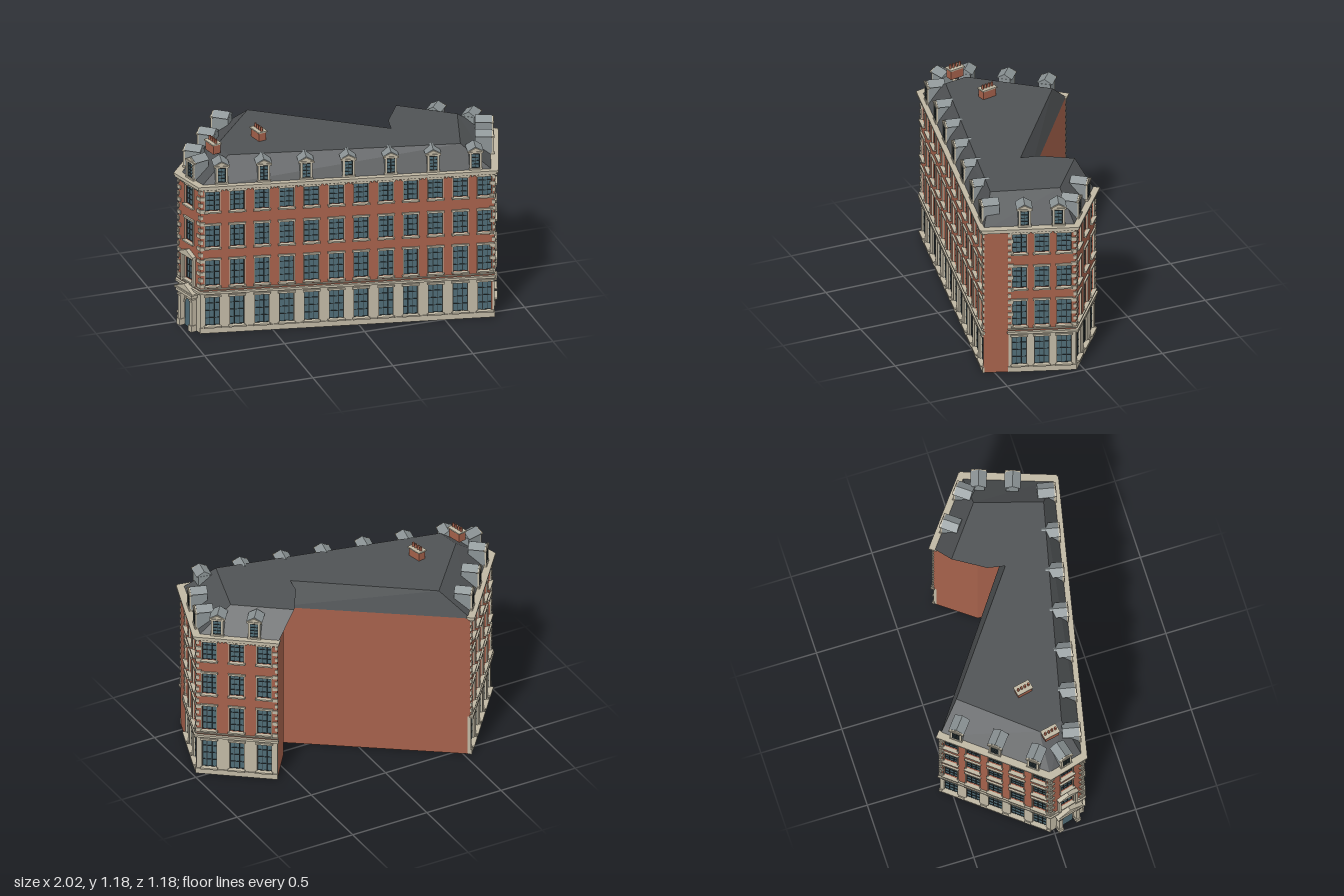
import * as THREE from 'three';
import { mergeGeometries } from 'three/addons/utils/BufferGeometryUtils.js';

const mat = (color) => new THREE.MeshStandardMaterial({ color });
const brick = mat(0xa5614b), stone = mat(0xc0b8a4), slate = mat(0x505355), zinc = mat(0x8b9395);
const glass = mat(0x4f6c76), bars = mat(0x2b3538);

const EAVE = 0.945, TOP = 1.1, GROUND = 0.26, REVEAL = 0.02, WIN = 0.085;
// plan corners [x, z]; matching corners of the flat roof
const plan = [[-0.92, 0.2], [0.79, 0.56], [0.97, 0.045], [0.59, -0.25], [0.425, -0.03], [0.4, 0.11], [-0.54, -0.565], [-0.98, -0.02]];
const flat = [[-0.72, 0.13], [0.62, 0.44], [0.74, 0.045], [0.44, -0.185], [0.325, 0], [0.305, 0.105], [-0.405, -0.42], [-0.745, -0.015]];
// window rows [bottom, top]
const rows = [[0.045, 0.235], [0.305, 0.475], [0.555, 0.7], [0.79, 0.92]];

const box = (w, h, d, x, y, z) => new THREE.BoxGeometry(w, h, d).translate(x, y, z);

// collects geometries by part name, then merges each into one mesh
class Parts {
  constructor() { this.map = new Map(); }
  add(name, material, ...geos) {
    if (!this.map.has(name)) this.map.set(name, { material, geos: [] });
    this.map.get(name).geos.push(...geos.map((g) => (g.index ? g.toNonIndexed() : g)));
  }
  build(group) {
    for (const [name, { material, geos }] of this.map) {
      const mesh = new THREE.Mesh(mergeGeometries(geos), material);
      mesh.name = name;
      group.add(mesh);
    }
    return group;
  }
}

const planShape = (pts) => new THREE.Shape(pts.map(([x, z]) => new THREE.Vector2(x, -z)));

// moves every edge of a counter-clockwise plan inward by its own distance
function inset(pts, dist) {
  const n = pts.length;
  const edge = (i) => {
    const a = pts[i], b = pts[(i + 1) % n], l = Math.hypot(b[0] - a[0], b[1] - a[1]);
    const d = [(b[0] - a[0]) / l, (b[1] - a[1]) / l];
    return { p: [a[0] + d[1] * dist[i], a[1] - d[0] * dist[i]], d };
  };
  return pts.map((_, i) => {
    const e = edge((i + n - 1) % n), f = edge(i);
    const t = ((f.p[0] - e.p[0]) * f.d[1] - (f.p[1] - e.p[1]) * f.d[0]) / (e.d[0] * f.d[1] - e.d[1] * f.d[0]);
    return [e.p[0] + e.d[0] * t, e.p[1] + e.d[1] * t];
  });
}

// wall slab with window openings
function panel(x0, x1, y0, y1, holes) {
  const rect = (C, a, b, c, d) => new C([[a, c], [b, c], [b, d], [a, d]].map((p) => new THREE.Vector2(...p)));
  const s = rect(THREE.Shape, x0, x1, y0, y1);
  for (const [x, w, b, t] of holes) s.holes.push(rect(THREE.Path, x - w / 2, x + w / 2, b, t));
  return new THREE.ExtrudeGeometry(s, { depth: REVEAL, bevelEnabled: false }).translate(0, 0, -REVEAL);
}

// glazed sash with glazing bars, its pane at depth z
function sash(p, x, w, b, t, z, nv = 2, nh = 3) {
  const h = t - b, y = (t + b) / 2;
  p.add('windowGlass', glass, box(w, h, 0.004, x, y, z));
  for (let i = 0; i <= nv + 1; i++) p.add('glazingBars', bars, box(0.004, h, 0.006, x - w / 2 + (w * i) / (nv + 1), y, z + 0.003));
  for (let i = 0; i <= nh + 1; i++) p.add('glazingBars', bars, box(w, 0.004, 0.006, x, b + (h * i) / (nh + 1), z + 0.003));
}

// triangular gable prism, front face at z
function gable(w, h, d, x, y, z) {
  const s = new THREE.Shape([[-w / 2, 0], [w / 2, 0], [0, h]].map((q) => new THREE.Vector2(...q)));
  return new THREE.ExtrudeGeometry(s, { depth: d, bevelEnabled: false }).translate(x, y, z - d);
}

function dormer(p, x) {
  const w = 0.072, d = 0.1, z = -0.012;
  p.add('dormerCheeks', zinc, box(w, 0.12, d, x, 1.015, z - d / 2));
  sash(p, x, 0.046, 0.975, 1.062, z + 0.002, 1, 3);
  for (const s of [-1, 1]) p.add('dormerTrim', stone, box(0.012, 0.115, 0.012, x + s * 0.03, 1.015, z + 0.003));
  p.add('dormerTrim', stone, box(0.092, 0.01, 0.02, x, 1.073, z + 0.002), box(0.08, 0.01, 0.02, x, 0.966, z + 0.002), gable(0.088, 0.022, 0.012, x, 1.078, z + 0.008));
  p.add('dormerRoofs', zinc, gable(0.096, 0.03, d, x, 1.076, z));
}

// one decorated street front, local x along the wall and z outward
function facade(name, a, b, { start = 0, bays, dormers, entrance = false }) {
  const g = new THREE.Group(), p = new Parts();
  const dx = b[0] - a[0], dz = b[1] - a[1], L = Math.hypot(dx, dz), len = L - start, mid = (L + start) / 2;
  g.name = name;
  g.position.set(a[0], 0, a[1]);
  g.rotation.y = -Math.atan2(dz, dx);

  // walls
  const holesOf = (list) => list.flatMap(([y0, y1]) => bays.map((x) => [x, WIN, y0, y1]));
  if (start) p.add('brickWall', brick, panel(0, start, 0, GROUND, []));
  p.add('stoneGroundFloor', stone, panel(start, L, 0, GROUND, entrance ? [] : holesOf([rows[0]])));
  p.add('brickWall', brick, panel(0, L, GROUND, EAVE, holesOf(rows.slice(1))));

  // windows with lintel and sill
  rows.forEach(([y0, y1], r) => {
    if (r === 0 && entrance) return;
    for (const x of bays) {
      sash(p, x, WIN, y0, y1, -REVEAL + 0.003);
      p.add('windowTrim', stone, box(WIN + 0.018, 0.012, 0.014, x, y1 + 0.005, 0.004), box(WIN + 0.018, 0.009, 0.022, x, y0 - 0.004, 0.007));
      if (r) for (const s of [-1, 1]) p.add('windowTrim', stone, box(0.005, y1 - y0, 0.008, x + s * (WIN / 2 + 0.002), (y0 + y1) / 2, 0.001));
    }
  });

  // plinth, string course, cornice and dentils
  p.add('stringCourse', stone, box(len + 0.016, 0.014, 0.024, mid, GROUND + 0.004, 0.004), box(len + 0.01, 0.006, 0.016, mid, 0.284, 0.002));
  if (!entrance) p.add('plinth', stone, box(len + 0.006, 0.035, 0.012, mid, 0.0175, 0));
  p.add('cornice', stone, box(L + 0.02, 0.012, 0.035, L / 2, 0.942, 0.003), box(L + 0.03, 0.012, 0.05, L / 2, 0.954, 0));
  for (let x = start + 0.01; x < L; x += 0.022) p.add('dentils', stone, box(0.01, 0.012, 0.016, x, 0.93, 0.006));

  // alternating quoins at both ends
  for (let i = 0; i < 16; i++) {
    const w = i % 2 ? 0.018 : 0.032, y = 0.305 + i * 0.0405;
    for (const x of [start + w / 2 - 0.004, L - w / 2 + 0.004]) p.add('quoins', stone, box(w, 0.022, 0.012, x, y, 0.001));
  }

  // arched doorway with a pedimented window above
  if (entrance) {
    const x = bays[0], s = new THREE.Shape();
    s.moveTo(-0.035, 0).lineTo(0.035, 0).lineTo(0.035, 0.15).absarc(0, 0.15, 0.035, 0, Math.PI).lineTo(-0.035, 0);
    p.add('door', glass, new THREE.ExtrudeGeometry(s, { depth: 0.006, bevelEnabled: false }).translate(x, 0, 0));
    p.add('doorSurround', stone, new THREE.TorusGeometry(0.039, 0.006, 6, 16, Math.PI).translate(x, 0.15, 0.006));
    for (const k of [-1, 1]) {
      p.add('doorSurround', stone, box(0.024, 0.225, 0.035, x + k * 0.06, 0.1125, 0.014), box(0.032, 0.04, 0.045, x + k * 0.06, 0.02, 0.016),
        box(0.03, 0.012, 0.042, x + k * 0.06, 0.2, 0.016), box(0.016, 0.18, 0.022, x + k * 0.058, 0.375, 0.008));
    }
    p.add('doorSurround', stone, box(0.165, 0.022, 0.045, x, 0.23, 0.018), box(0.18, 0.01, 0.055, x, 0.245, 0.02), gable(0.17, 0.04, 0.045, x, 0.25, 0.04),
      box(0.14, 0.014, 0.03, x, 0.472, 0.01), gable(0.14, 0.03, 0.03, x, 0.478, 0.026));
  }

  dormers.forEach((x) => dormer(p, x));
  return p.build(g);
}

// steep slopes between eave and flat roof
function slopes() {
  const pos = [], n = plan.length;
  for (let i = 0; i < n; i++) {
    const j = (i + 1) % n;
    const [A, B] = [plan[i], plan[j]].map(([x, z]) => [x, EAVE, z]), [C, D] = [flat[j], flat[i]].map(([x, z]) => [x, TOP, z]);
    pos.push(...A, ...B, ...C, ...A, ...C, ...D);
  }
  const g = new THREE.BufferGeometry();
  g.setAttribute('position', new THREE.Float32BufferAttribute(pos, 3));
  g.computeVertexNormals();
  return g;
}

function chimney(x, z) {
  const g = new THREE.Group(), p = new Parts();
  g.name = 'chimney';
  g.position.set(x, TOP, z);
  g.rotation.y = 0.21;
  p.add('chimneyStack', brick, box(0.048, 0.06, 0.09, 0, 0.025, 0));
  p.add('chimneyCap', stone, box(0.06, 0.008, 0.102, 0, 0.056, 0));
  for (let i = 0; i < 4; i++) p.add('chimneyPots', brick, new THREE.CylinderGeometry(0.007, 0.008, 0.026, 8).translate(0, 0.071, -0.034 + i * 0.0227));
  return p.build(g);
}

export function createModel() {
  const model = new THREE.Group();
  model.name = 'cornerBuilding';
  const add = (name, geo, material) => {
    const m = new THREE.Mesh(geo, material);
    m.name = name;
    model.add(m);
  };
  const series = (n, first, step) => Array.from({ length: n }, (_, i) => first + i * step);

  // solid core, set back behind the window openings
  const core = inset(plan, [REVEAL, REVEAL, REVEAL, 0, 0, 0, REVEAL, REVEAL]);
  add('core', new THREE.ExtrudeGeometry(planShape(core), { depth: EAVE, bevelEnabled: false }).rotateX(-Math.PI / 2), brick);

  // roof
  add('roofSlopes', slopes(), slate);
  add('flatRoof', new THREE.ShapeGeometry(planShape(flat)).rotateX(-Math.PI / 2).translate(0, TOP, 0), slate);

  // street fronts
  model.add(
    facade('frontFacade', plan[0], plan[1], { bays: series(12, 0.072, 0.1473), dormers: series(7, 0.128, 0.2515) }),
    facade('leftFacade', plan[1], plan[2], { start: 0.148, bays: series(3, 0.212, 0.1325), dormers: [0.244, 0.445] }),
    facade('wingFacade', plan[2], plan[3], { bays: series(3, 0.075, 0.164), dormers: [0.122, 0.342] }),
    facade('backRightFacade', plan[6], plan[7], { bays: series(5, 0.07, 0.14), dormers: [0.1, 0.345, 0.587] }),
    facade('entranceCorner', plan[7], plan[0], { bays: [0.114], dormers: [0.114], entrance: true }),
    chimney(-0.785, 0.04),
    chimney(-0.475, -0.03),
  );
  return model;
}
